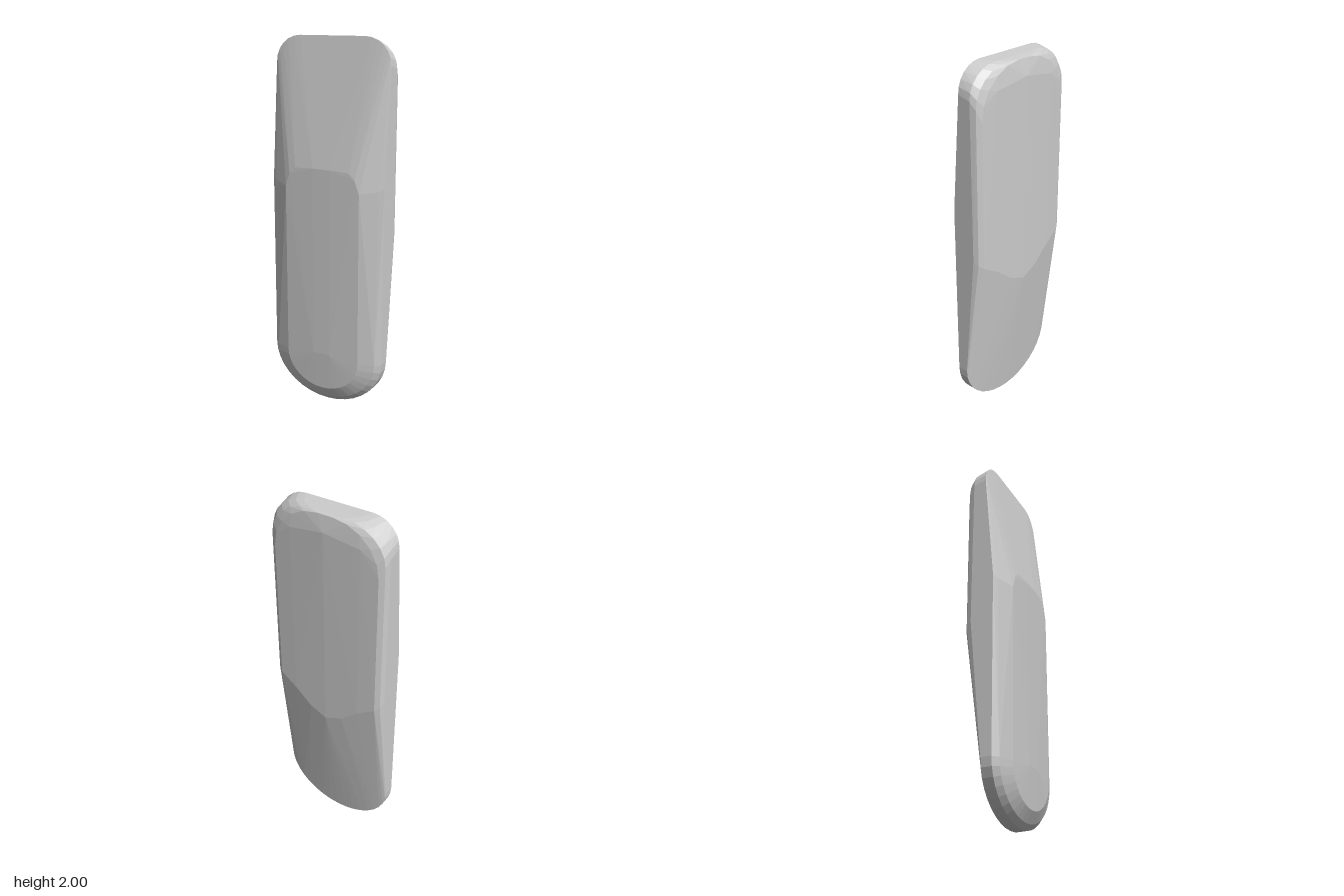
import * as THREE from 'three';
import { ConvexGeometry } from 'three/addons/geometries/ConvexGeometry.js';

const W = 0.335; // half width

export function createModel() {
  const group = new THREE.Group();
  const points = [];
  // adds a point and its mirror image
  const add = (x, y, z) => {
    points.push(new THREE.Vector3(x, y, z));
    if (x > 0) points.push(new THREE.Vector3(-x, y, z));
  };
  // quarter-ellipse corner running from the centre-side tangent to the side
  const corner = (cx, cy, rx, ry, z, n) => {
    for (let i = 0; i <= n; i++) {
      const a = (i / n) * Math.PI / 2;
      add(cx + rx * Math.sin(a), cy + ry * Math.cos(a), z);
    }
  };

  // sharp rim of the top end, and softer outlines behind it
  corner(0.19, 1.86, W - 0.19, 0.14, 0.005, 6);
  corner(0.15, 1.84, W - 0.15, 0.153, -0.065, 6);
  corner(0.09, 1.80, 0.235, 0.187, -0.095, 6);
  corner(0.04, 1.74, 0.26, 0.243, -0.111, 5);
  add(0.2, 1.87, -0.119);
  add(0, 1.9, -0.128);

  // rounded bottom end: straight rim, then curving in to the front plateau
  corner(0, 0.28, W, -0.28, 0.0, 9);
  corner(0, 0.28, W, -0.277, 0.058, 9);
  corner(0, 0.28, 0.305, -0.25, 0.085, 9);
  corner(0, 0.28, 0.22, -0.19, 0.116, 9);
  add(0.05, 0.3, 0.127);

  // front section where the upper slope begins
  for (const [x, y, z] of [[0.05, 1.33, 0.122], [0.16, 1.325, 0.118], [0.195, 1.29, 0.118],
    [0.22, 1.22, 0.117], [0.31, 1.235, 0.071], [W, 1.25, 0.056]]) add(x, y, z);

  // back section where the lower slope begins
  for (const [x, y, z] of [[0, 0.78, -0.122], [0.1, 0.82, -0.119], [0.2, 0.9, -0.116],
    [0.3, 0.96, -0.109], [0.325, 0.98, -0.094], [W, 1.0, -0.068]]) add(x, y, z);

  const body = new THREE.Mesh(
    new ConvexGeometry(points),
    new THREE.MeshStandardMaterial({ color: 0xcccccc, flatShading: true })
  );
  body.name = 'body';
  group.add(body);
  return group;
}
